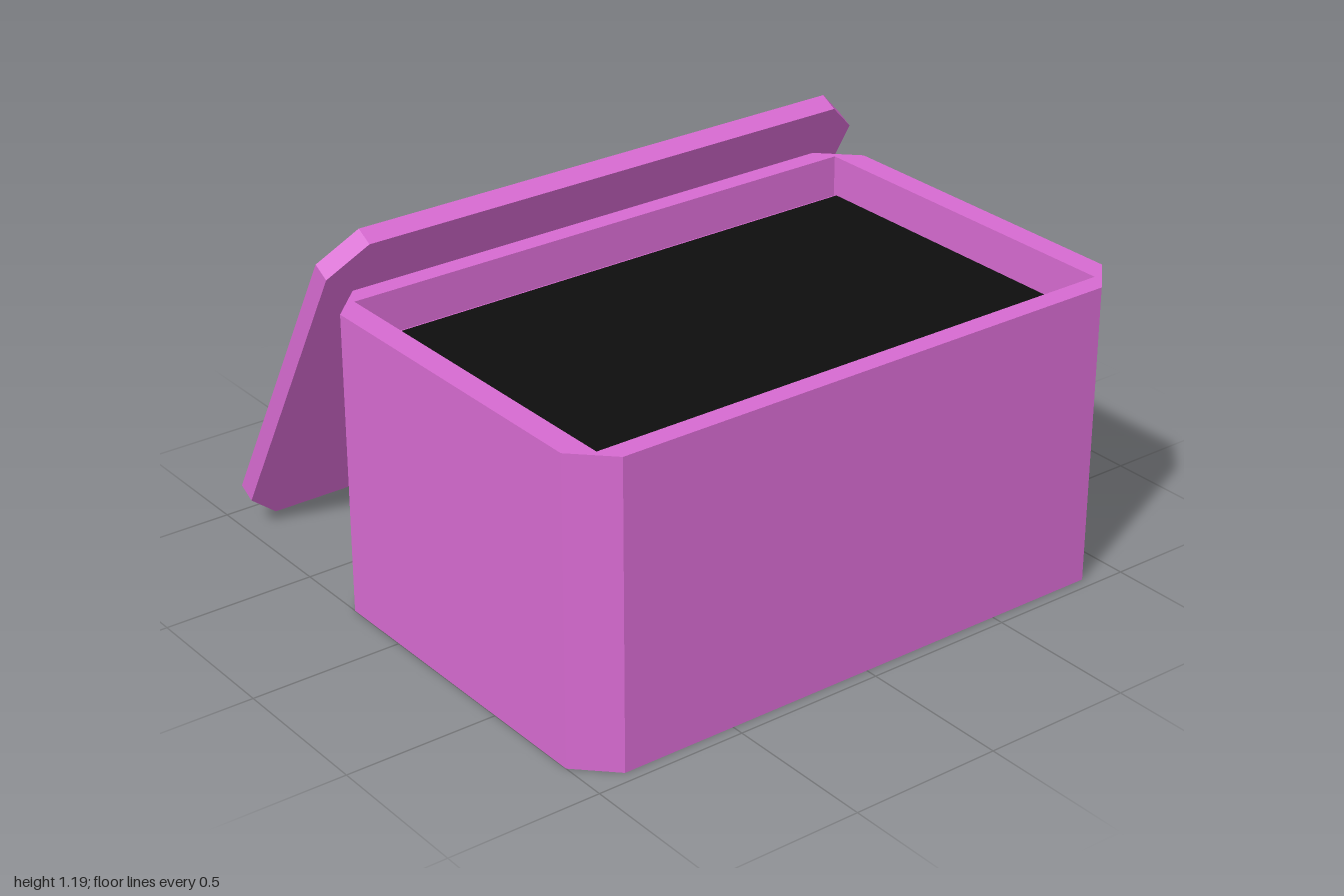
import * as THREE from 'three';

const material = (color) => new THREE.MeshStandardMaterial({ color, flatShading: true });

// Rectangle with cut corners, optionally with a rectangular hole, extruded upwards from y = 0
function choppedSlab(width, depth, height, cut, hole) {
  const x = width / 2, z = depth / 2;
  const shape = new THREE.Shape([
    [x, cut - z], [x, z - cut], [x - cut, z], [cut - x, z],
    [-x, z - cut], [-x, cut - z], [cut - x, -z], [x - cut, -z],
  ].map(([a, b]) => new THREE.Vector2(a, b)));
  if (hole) {
    const [hx, hz] = [hole[0] / 2, hole[1] / 2];
    shape.holes.push(new THREE.Path([
      new THREE.Vector2(-hx, -hz), new THREE.Vector2(-hx, hz),
      new THREE.Vector2(hx, hz), new THREE.Vector2(hx, -hz),
    ]));
  }
  return new THREE.ExtrudeGeometry(shape, { depth: height, bevelEnabled: false }).rotateX(-Math.PI / 2);
}

function add(parent, name, geometry, mat, y = 0) {
  const mesh = new THREE.Mesh(geometry, mat);
  mesh.name = name;
  mesh.position.y = y;
  parent.add(mesh);
  return mesh;
}

export function createModel() {
  const model = new THREE.Group();
  model.name = 'openChest';
  const pink = material(0xd66ad0);
  const mauve = material(0xc793c4);
  const black = material(0x0d0d0d);

  const width = 1.32, depth = 1.99, cut = 0.117;
  const floorY = 0.85, rimY = 0.987;

  // Chest body: solid lower part, rim with a rectangular opening, dark filling
  const chest = new THREE.Group();
  chest.name = 'chest';
  chest.position.set(0.301, 0, 0.005);
  add(chest, 'body', choppedSlab(width, depth, floorY, cut), pink);
  add(chest, 'rim', choppedSlab(width, depth, rimY - floorY, cut, [1.186, 1.83]), pink, floorY);
  add(chest, 'filling', new THREE.BoxGeometry(1.16, 0.01, 1.83), black, floorY);
  model.add(chest);

  // Lid leaning against the left wall, outer side facing up and away
  const lid = new THREE.Group();
  lid.name = 'lid';
  lid.position.set(-0.6175, 0.602, -0.005);
  lid.rotation.z = THREE.MathUtils.degToRad(61);
  add(lid, 'lidPlate', choppedSlab(width, depth, 0.063, cut), pink, -0.0315);

  // Raised panel with a shallow pyramid on top
  const panel = [0.925, 1.595];
  add(lid, 'lidPanel', new THREE.BoxGeometry(panel[0], 0.07, panel[1]), mauve, 0.063);
  const pyramid = new THREE.ConeGeometry(Math.SQRT1_2, 0.134, 4, 1, true)
    .rotateY(Math.PI / 4).scale(panel[0], 1, panel[1]);
  add(lid, 'lidPyramid', pyramid, mauve, 0.098 + 0.067);
  model.add(lid);

  return model;
}
